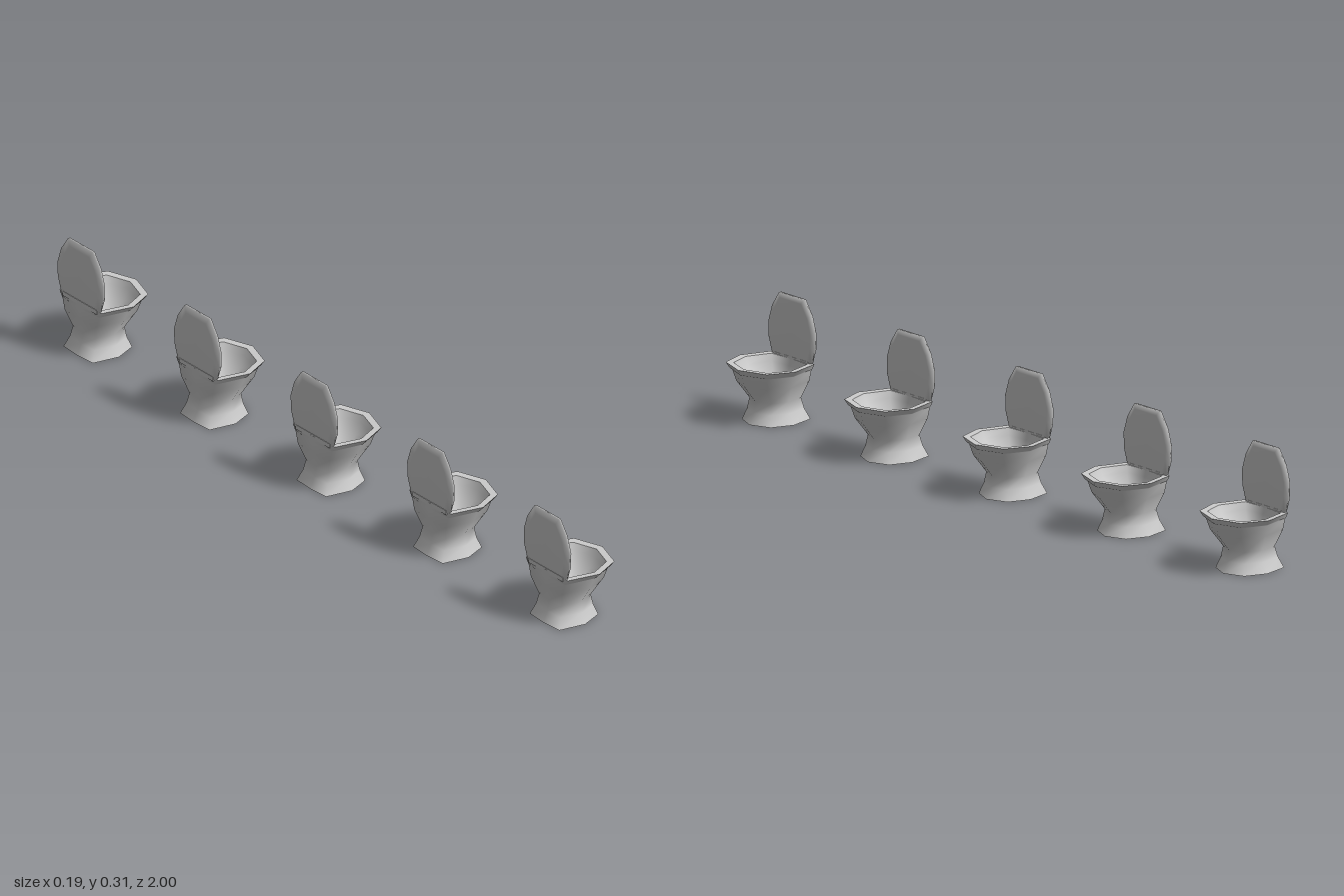
import * as THREE from 'three';

const porcelain = new THREE.MeshStandardMaterial({ color: 0xcccccc, side: THREE.DoubleSide });
porcelain.name = 'porcelain';

// Skin over a list of closed rings of points
function loft(name, rings) {
  const n = rings[0].length, index = [];
  for (let i = 0; i < rings.length - 1; i++) {
    for (let j = 0; j < n; j++) {
      const a = i * n + j, b = i * n + (j + 1) % n, c = a + n, d = b + n;
      index.push(a, c, b, b, c, d);
    }
  }
  const geometry = new THREE.BufferGeometry();
  geometry.setAttribute('position', new THREE.Float32BufferAttribute(rings.flat(2), 3));
  geometry.setIndex(index);
  geometry.computeVertexNormals();
  const mesh = new THREE.Mesh(geometry, porcelain);
  mesh.name = name;
  return mesh;
}

// Eight-sided plan with a flat back, facing +x
const plan = [[1, 0], [0.71, 0.74], [-0.05, 1], [-0.95, 0.77], [-1, 0], [-0.95, -0.77], [-0.05, -1], [0.71, -0.74]];
const ring = ([y, back, front, half]) => plan.map(([px, pz]) =>
  [(front + back) / 2 + px * (front - back) / 2, y, pz * half]);

// Lid outline as [z, y], counter-clockwise seen from +x reversed to run up the +z side
const half = [[0.072, 0.143], [0.086, 0.185], [0.087, 0.225], [0.073, 0.268], [0.047, 0.306]];
const outline = [...half, ...half.map(([z, y]) => [-z, y]).reverse()];
const lidRing = (x, s) => outline.map(([z, y]) => [x, 0.222 + (y - 0.222) * s, z * s]);

function makeToilet() {
  const toilet = new THREE.Group();

  // Flared foot, waist and outer bowl up to the rim; open underneath
  toilet.add(loft('pedestalAndBowl', [
    [0, -0.097, 0.057, 0.074],
    [0.028, -0.084, 0.044, 0.062],
    [0.056, -0.077, 0.038, 0.056],
    [0.1, -0.09, 0.073, 0.079],
    [0.13, -0.09, 0.081, 0.09],
    [0.133, -0.09, 0.087, 0.094],
    [0.147, -0.09, 0.094, 0.105],
  ].map(ring)));

  // Flat rim
  toilet.add(loft('rim', [
    [0.147, -0.09, 0.094, 0.105],
    [0.146, -0.077, 0.075, 0.087],
  ].map(ring)));

  // Hollow of the bowl, down to a small floor
  toilet.add(loft('basin', [
    [0.146, -0.077, 0.075, 0.087],
    [0.128, -0.073, 0.068, 0.08],
    [0.1, -0.065, 0.052, 0.062],
    [0.076, -0.045, 0.025, 0.036],
    [0.07, -0.012, -0.012, 0],
  ].map(ring)));

  // Raised lid, slightly domed on both faces
  toilet.add(loft('lid', [
    lidRing(-0.091, 0), lidRing(-0.09, 0.8), lidRing(-0.087, 1),
    lidRing(-0.08, 1), lidRing(-0.076, 0.86), lidRing(-0.076, 0),
  ]));

  // Hinge block joining lid and rim
  const hinge = new THREE.Mesh(new THREE.BoxGeometry(0.013, 0.012, 0.13), porcelain);
  hinge.name = 'hinge';
  hinge.position.set(-0.083, 0.145, 0);
  toilet.add(hinge);
  return toilet;
}

export function createModel() {
  const model = new THREE.Group();
  model.name = 'toiletRow';
  for (let i = -2; i <= 2; i++) {
    const toilet = makeToilet();
    toilet.name = `toilet${i + 3}`;
    toilet.position.z = i * 0.4475;
    model.add(toilet);
  }
  return model;
}
